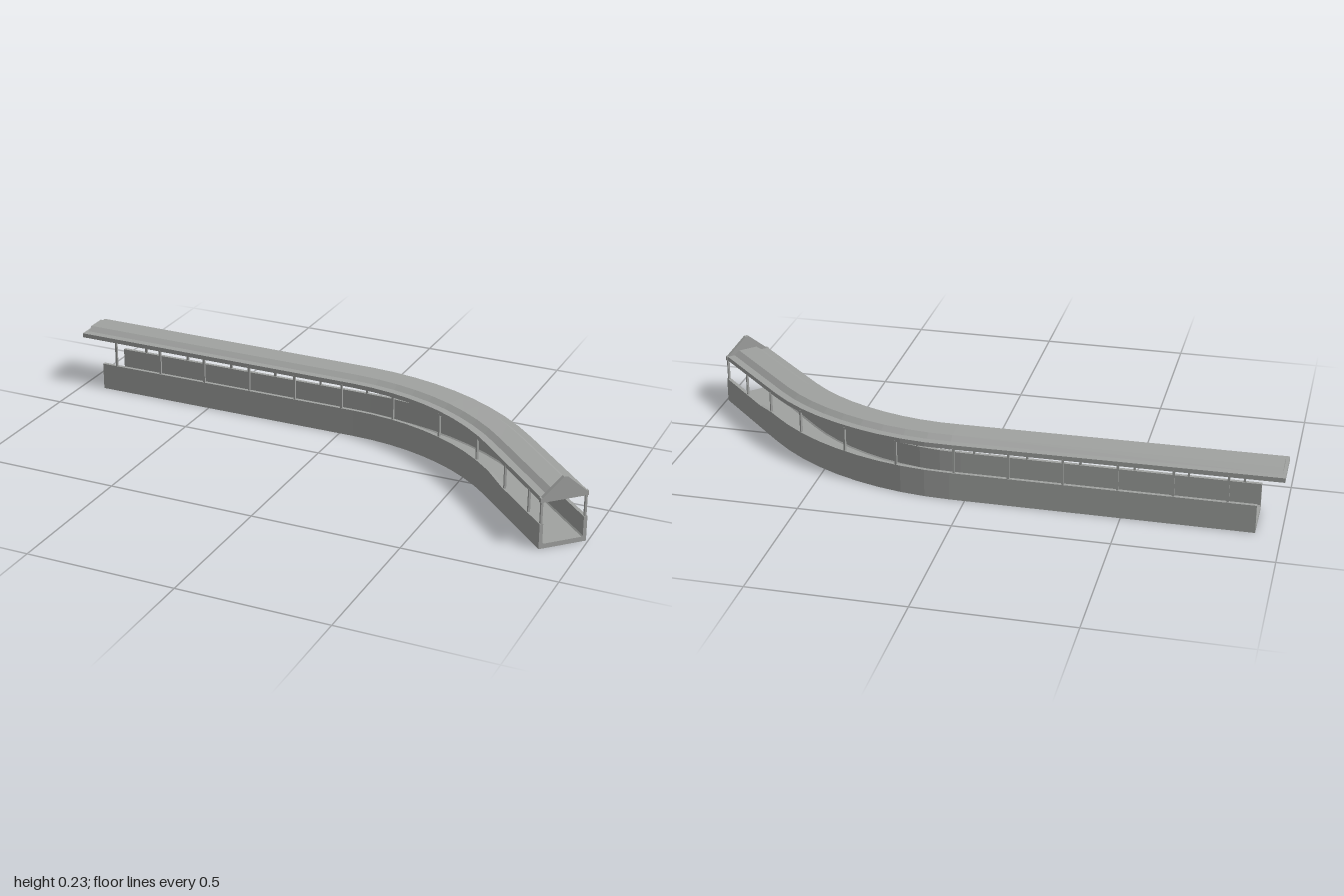
import * as THREE from 'three';

// Centre line: straight run, 45 degree bend, straight run (s = distance from the left end)
const CX = 0.05, Z0 = -0.251, R = 0.867, CZ = Z0 + R, BEND = Math.PI / 4;
const S1 = CX + 1, S2 = S1 + R * BEND, END = 2.119, BASE_START = 0.08;

function angleAt(s) {
  return THREE.MathUtils.clamp((s - S1) / R, 0, BEND);
}

// off > 0 lies towards the inside of the bend
function place(s, off, y) {
  const a = angleAt(s), r = R - off;
  const run = s < S1 ? s - S1 : Math.max(0, s - S2);
  return new THREE.Vector3(
    CX + r * Math.sin(a) + run * Math.cos(a), y,
    CZ - r * Math.cos(a) + run * Math.sin(a));
}

// Distance along the path for a given x on an offset line
function distanceAtX(x, off) {
  const r = R - off, dx = x - CX;
  if (dx <= 0) return S1 + dx;
  const reach = r * Math.sin(BEND);
  if (dx <= reach) return S1 + R * Math.asin(dx / r);
  return S2 + (dx - reach) / Math.cos(BEND);
}

function lerpTable(table, s) {
  for (let i = 1; i < table.length; i++) {
    const [s0, y0] = table[i - 1], [s1, y1] = table[i];
    if (s <= s1) return y0 + (y1 - y0) * Math.max(0, (s - s0) / (s1 - s0));
  }
  return table[table.length - 1][1];
}
const wallTop = s => lerpTable([[0, 0.094], [1.762, 0.094], [1.854, 0.084], [END, 0.084]], s);
const eave = s => lerpTable([[0, 0.181], [S1, 0.176], [1.4, 0.171], [S2, 0.162], [END, 0.155]], s);

function stations(from, to) {
  const list = [from];
  const inner = [1.762, 1.854];
  for (let i = 0; i <= 9; i++) inner.push(S1 + (S2 - S1) * i / 9);
  inner.sort((a, b) => a - b).forEach(s => { if (s > from && s < to) list.push(s); });
  list.push(to);
  return list;
}

// Closed section (counter-clockwise in offset, height) carried along the path, capped at both ends
function sweep(section, from, to) {
  const ss = stations(from, to), n = section(from).length, pos = [];
  const rings = ss.map(s => section(s).map(([o, y]) => place(s, o, y)));
  const tri = (...pts) => pts.forEach(p => pos.push(p.x, p.y, p.z));
  for (let i = 0; i < rings.length - 1; i++) {
    for (let j = 0; j < n; j++) {
      const k = (j + 1) % n;
      const a = rings[i][j], b = rings[i][k], c = rings[i + 1][k], d = rings[i + 1][j];
      tri(a, d, b);
      tri(b, d, c);
    }
  }
  const first = rings[0], last = rings[rings.length - 1];
  const flat = s => section(s).map(([o, y]) => new THREE.Vector2(o, y));
  THREE.ShapeUtils.triangulateShape(flat(from), []).forEach(([a, b, c]) => tri(first[a], first[b], first[c]));
  THREE.ShapeUtils.triangulateShape(flat(to), []).forEach(([a, b, c]) => tri(last[a], last[c], last[b]));
  const geo = new THREE.BufferGeometry();
  geo.setAttribute('position', new THREE.Float32BufferAttribute(pos, 3));
  geo.computeVertexNormals();
  return geo;
}

export function createModel() {
  const group = new THREE.Group();
  const grey = new THREE.MeshStandardMaterial({ color: 0xa0a2a0, flatShading: true });
  grey.name = 'concrete grey';
  const add = (name, geo, parent = group) => {
    const mesh = new THREE.Mesh(geo, grey);
    mesh.name = name;
    parent.add(mesh);
    return mesh;
  };

  // Open trough: floor with a parapet on each side
  add('walkwayTrough', sweep(s => {
    const h = wallTop(s), w = 0.08, i = 0.068, f = 0.016, c = 0.004;
    return [[-w, 0], [w, 0], [w, h], [i, h], [i, f + c], [i - c, f],
      [-i + c, f], [-i, f + c], [-i, h], [-w, h]];
  }, BASE_START, END));

  // Roof slab and its raised middle
  add('roofSlab', sweep(s => {
    const y = eave(s), w = 0.077;
    return [[-w, y], [w, y], [w, y + 0.015], [-w, y + 0.015]];
  }, 0, END));
  add('roofRidge', sweep(s => {
    const y = eave(s) + 0.0145;
    return [[-0.052, y], [0.052, y], [0.033, y + 0.0145], [-0.033, y + 0.0145]];
  }, 0.01, END - 0.005));

  // Pointed panel over the entrance
  add('entranceGable', sweep(() => [
    [-0.08, 0.155], [0.08, 0.155], [0.08, 0.17], [0.074, 0.17],
    [0.006, 0.23], [-0.006, 0.23], [-0.074, 0.17], [-0.08, 0.17],
  ], END - 0.012, END));

  // Posts standing on both parapets
  const posts = new THREE.Group();
  posts.name = 'roofPosts';
  group.add(posts);
  const rows = [
    [0.074, [-0.866, -0.69, -0.517, -0.343, -0.17, 0.005, 0.198, 0.388, 0.56, 0.704, 0.823, 0.882]],
    [-0.074, [-0.83, -0.661, -0.487, -0.314, -0.14, 0.036, 0.23, 0.417, 0.598, 0.747, 0.877, 0.986]],
  ];
  for (const [off, xs] of rows) {
    for (const x of xs) {
      const s = Math.min(distanceAtX(x, off), END - 0.005);
      const bottom = wallTop(s) - 0.005, top = eave(s) + 0.005;
      const post = add('post', new THREE.BoxGeometry(0.007, top - bottom, 0.007), posts);
      post.position.copy(place(s, off, (top + bottom) / 2));
      post.rotation.y = -angleAt(s);
    }
  }
  return group;
}
